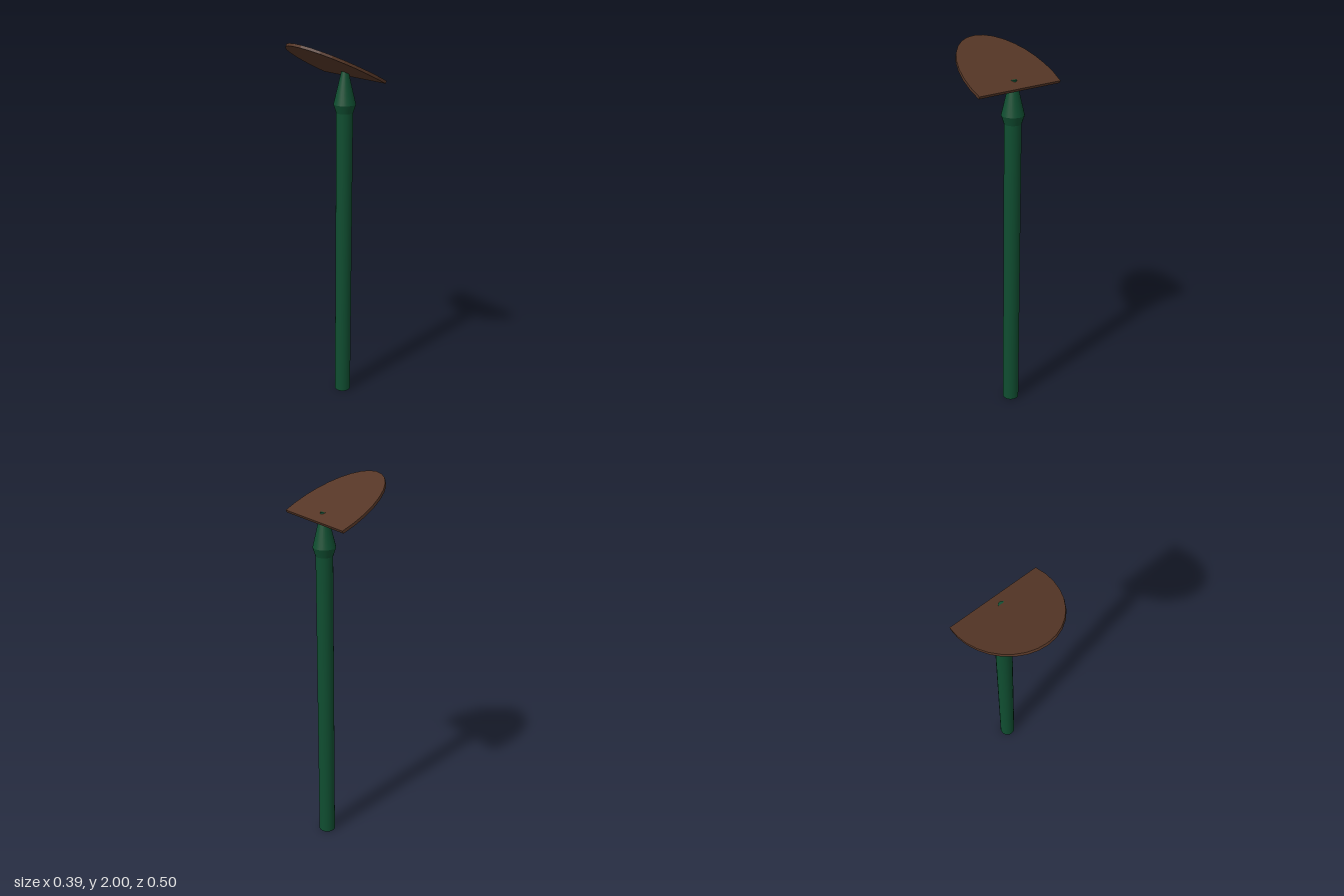
import * as THREE from 'three';

const POLE_X = 0.132;

export function createModel() {
  const group = new THREE.Group();
  const green = new THREE.MeshStandardMaterial({ color: 0x0f4d30 });
  const brown = new THREE.MeshStandardMaterial({ color: 0x553626 });

  // Round section standing on the pole axis between two heights
  function section(name, rBottom, rTop, y0, y1) {
    const geo = new THREE.CylinderGeometry(rTop, rBottom, y1 - y0, 24);
    const mesh = new THREE.Mesh(geo, green);
    mesh.name = name;
    mesh.position.set(POLE_X, (y0 + y1) / 2, 0);
    group.add(mesh);
  }
  section('pole', 0.044, 0.044, 0, 1.62);
  section('collar', 0.044, 0.059, 1.62, 1.665);
  section('taperedTip', 0.059, 0.017, 1.665, 1.842);

  // Tilted board: an ellipse cut off straight just past its centre
  const outline = [];
  const step = Math.PI / 16;
  for (let i = -1; i <= 17; i++) {
    const a = Math.PI / 2 + i * step;
    outline.push(new THREE.Vector2(0.36 * Math.cos(a), 0.25 * Math.sin(a)));
  }
  const thickness = 0.0145;
  const boardGeo = new THREE.ExtrudeGeometry(new THREE.Shape(outline), {
    depth: thickness, bevelEnabled: false,
  });
  boardGeo.rotateX(-Math.PI / 2);
  boardGeo.translate(0, -thickness, 0);
  const board = new THREE.Mesh(boardGeo, brown);
  board.name = 'tiltedBoard';
  board.position.set(0.134, 1.8425, 0);
  board.rotation.z = THREE.MathUtils.degToRad(-26);
  group.add(board);

  return group;
}
